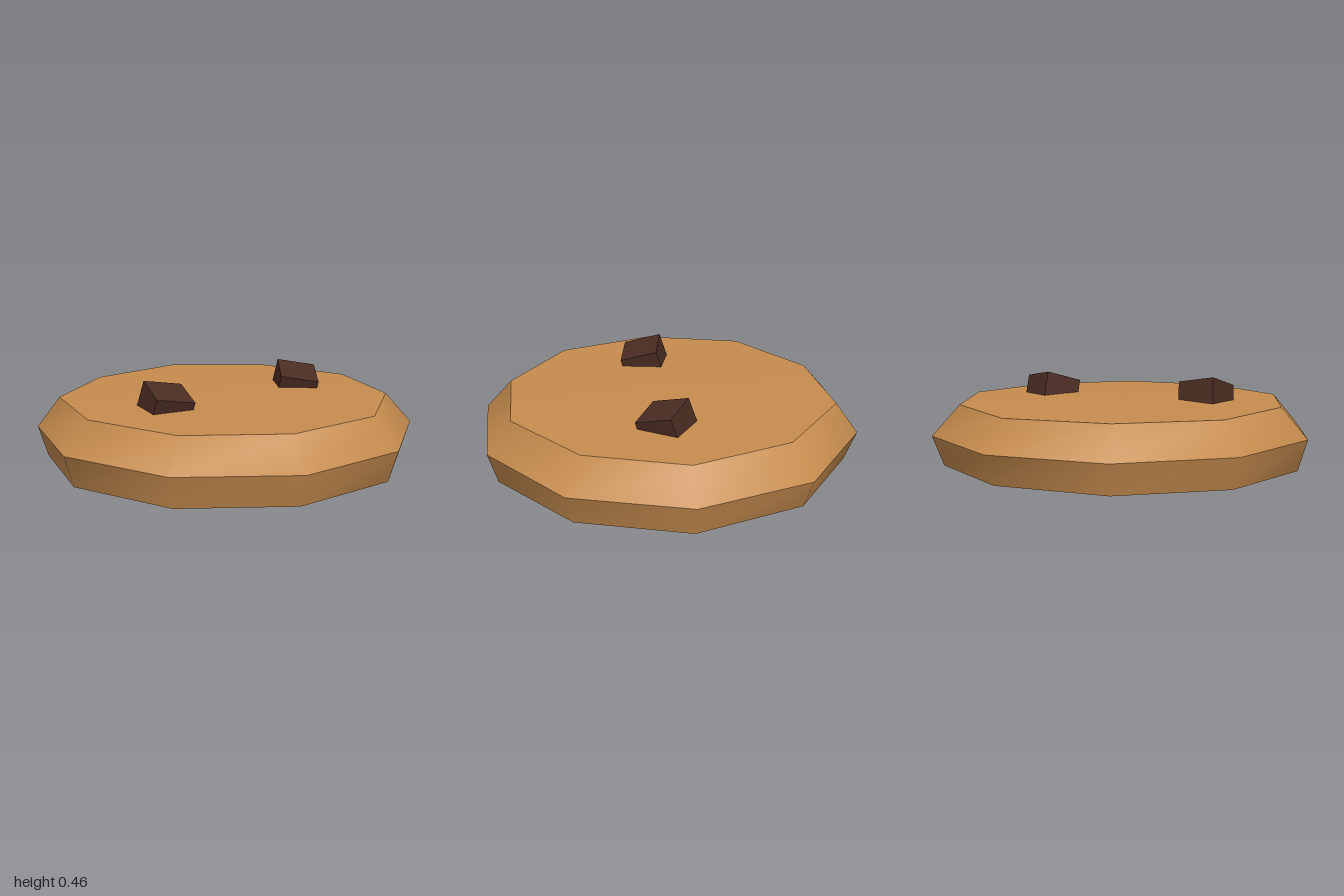
import * as THREE from 'three';

const SIDES = 10;

// Slightly irregular ten-sided ring, starting at +x and turning towards the back
function ring(radii, height) {
  return radii.map((r, i) => {
    const a = (i / SIDES) * Math.PI * 2;
    const z = -r * Math.sin(a);
    return [r * Math.cos(a), height(z), z];
  });
}

function smoothGeometry(points, index) {
  const geometry = new THREE.BufferGeometry();
  geometry.setAttribute('position', new THREE.Float32BufferAttribute(points.flat(), 3));
  geometry.setIndex(index);
  geometry.computeVertexNormals();
  return geometry;
}

// Band joining a lower ring to an upper ring
function band(lower, upper) {
  const index = [];
  for (let i = 0; i < SIDES; i++) {
    const j = (i + 1) % SIDES;
    index.push(i, j, SIDES + j, i, SIDES + j, SIDES + i);
  }
  return smoothGeometry([...lower, ...upper], index);
}

// Fan from a ring to a centre point
function cap(points, centreY, facesUp) {
  const index = [];
  for (let i = 0; i < SIDES; i++) {
    const j = (i + 1) % SIDES;
    index.push(SIDES, facesUp ? i : j, facesUp ? j : i);
  }
  return smoothGeometry([...points, [0, centreY, 0]], index);
}

export function createModel() {
  const model = new THREE.Group();
  model.name = 'cookie';

  const dough = new THREE.MeshStandardMaterial({ color: 0xc68c4e });
  dough.name = 'golden dough';
  const chocolate = new THREE.MeshStandardMaterial({ color: 0x4a2c22 });
  chocolate.name = 'dark chocolate';

  const add = (name, geometry, material) => {
    const mesh = new THREE.Mesh(geometry, material);
    mesh.name = name;
    model.add(mesh);
    return mesh;
  };

  // Cookie body: tapered base, sloping shoulder and gently domed top
  const base = ring([0.94, 0.95, 0.95, 0.95, 0.95, 0.95, 0.95, 0.95, 0.95, 0.95], z => 0.005 - 0.005 * z);
  const waist = ring([1, 1, 1.01, 1.01, 1, 1, 1, 1, 1.005, 1], () => 0.165);
  const rim = ring([0.86, 0.872, 0.865, 0.892, 0.86, 0.88, 0.86, 0.863, 0.863, 0.866], () => 0.323);
  add('underside', cap(base, 0.005, false), dough);
  add('lowerSide', band(base, waist), dough);
  add('shoulder', band(waist, rim), dough);
  add('top', cap(rim, 0.347, true), dough);

  // Tilted chocolate chunks sunk into the top
  const chunk = new THREE.BoxGeometry(0.208, 0.208, 0.208);
  const chunks = [
    { name: 'leftChunk', position: [0.39, 0.315, -0.218], yaw: 0 },
    { name: 'rightChunk', position: [-0.327, 0.319, 0.309], yaw: 0.35 },
  ];
  for (const { name, position, yaw } of chunks) {
    const mesh = add(name, chunk, chocolate);
    mesh.position.set(...position);
    mesh.rotation.set(0.28, yaw, -0.175, 'YXZ');
  }

  return model;
}
